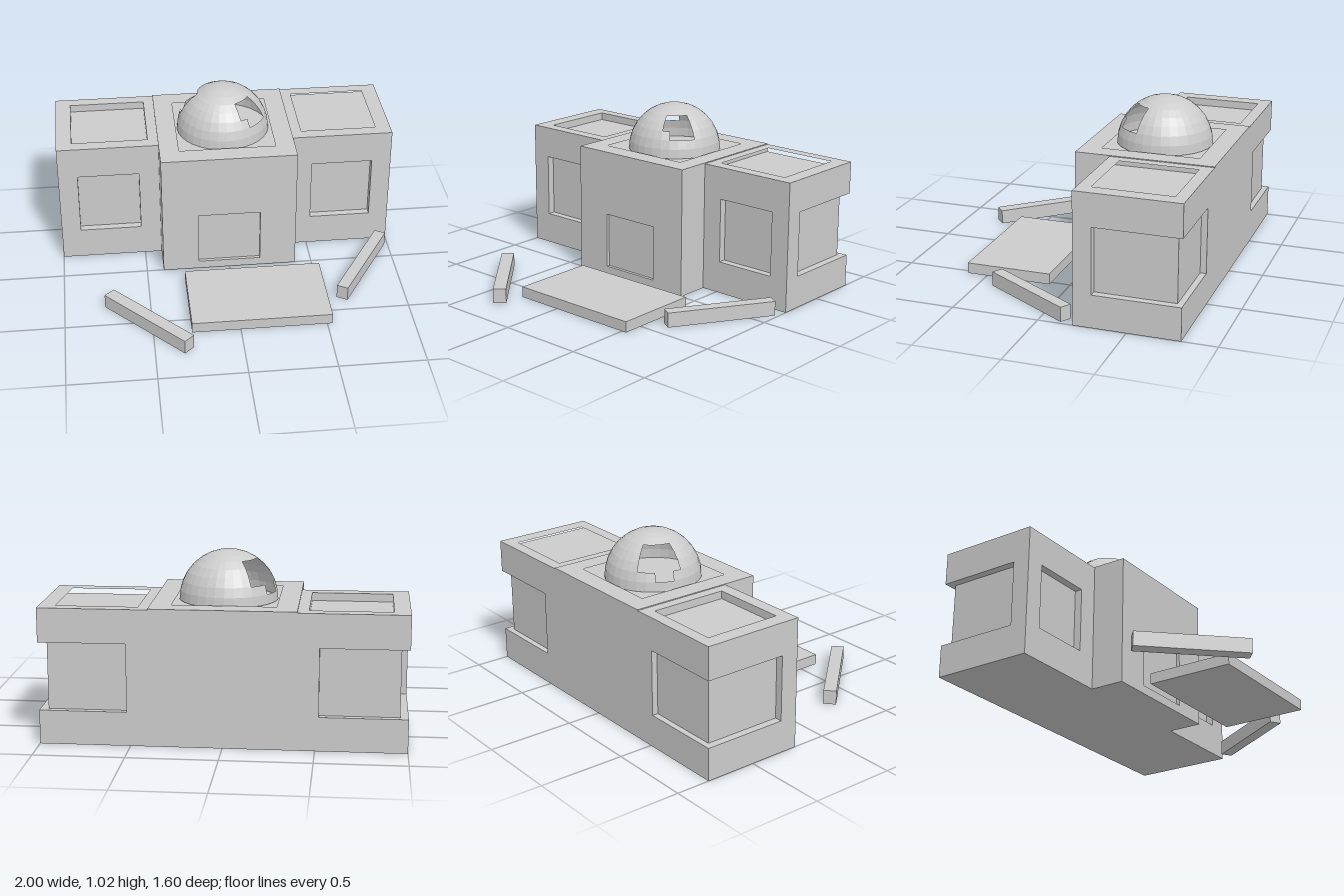
import * as THREE from 'three';

const material = new THREE.MeshStandardMaterial({ color: 0xcccccc, flatShading: true });
const shellMaterial = new THREE.MeshStandardMaterial({ color: 0xcccccc, flatShading: true, side: THREE.DoubleSide });

// corners of a rectangle in plan, as [x, z]
const rect = (x0, x1, z0, z1) => [[x0, z0], [x1, z0], [x1, z1], [x0, z1]];

// upright prism over a plan outline, with an optional hole
function layer(name, outline, y0, y1, hole) {
  const toPoints = (list) => list.map(([x, z]) => new THREE.Vector2(x, -z));
  const shape = new THREE.Shape(toPoints(outline));
  if (hole) shape.holes.push(new THREE.Path(toPoints(hole)));
  const geometry = new THREE.ExtrudeGeometry(shape, { depth: y1 - y0, bevelEnabled: false });
  geometry.rotateX(-Math.PI / 2).translate(0, y0, 0);
  const mesh = new THREE.Mesh(geometry, material);
  mesh.name = name;
  return mesh;
}

// side wing: front window recess, rear corner recess and sunken roof
function createWing(side) {
  const wing = new THREE.Group();
  wing.name = side > 0 ? 'leftWing' : 'rightWing';
  const flip = (list) => list.map(([x, z]) => [x * side, z]);
  const full = flip(rect(0.4, 1, -0.8, -0.2));
  const notched = flip([
    [0.4, -0.2], [0.52, -0.2], [0.52, -0.245], [0.885, -0.245], [0.885, -0.2], [1, -0.2],
    [1, -0.305], [0.955, -0.305], [0.955, -0.765], [0.52, -0.765], [0.52, -0.8], [0.4, -0.8],
  ]);
  wing.add(
    layer('wingBase', full, 0, 0.19),
    layer('wingWindowWalls', notched, 0.19, 0.57),
    layer('wingUpperWalls', full, 0.57, 0.715),
    layer('wingRoofRim', full, 0.715, 0.76, flip(rect(0.46, 0.91, -0.73, -0.275))),
  );
  return wing;
}

// central block: shallow doorway and shallow roof recess
function createCentre() {
  const centre = new THREE.Group();
  centre.name = 'centralBlock';
  const full = rect(-0.4, 0.4, -0.8, 0.003);
  const doorway = [
    [-0.4, -0.8], [0.4, -0.8], [0.4, 0.003], [0.185, 0.003],
    [0.185, -0.017], [-0.185, -0.017], [-0.185, 0.003], [-0.4, 0.003],
  ];
  centre.add(
    layer('centreBase', full, 0, 0.05),
    layer('doorwayWalls', doorway, 0.05, 0.38),
    layer('centreUpperWalls', full, 0.38, 0.747),
    layer('centreRoofRim', full, 0.747, 0.765, rect(-0.285, 0.285, -0.685, -0.115)),
  );
  return centre;
}

// faceted half-sphere shell with two broken openings
function createDome() {
  const radius = 0.275, step = Math.PI / 16;
  // openings as [first row, last row, first column, last column]
  const openings = [[2, 2, 2, 4], [3, 4, 2, 5], [2, 4, 16, 20], [1, 1, 17, 18]];
  const positions = [];
  const point = (i, j) => [
    radius * Math.cos(j * step) * Math.cos(i * step),
    radius * Math.sin(j * step),
    radius * Math.cos(j * step) * Math.sin(i * step),
  ];
  for (let j = 0; j < 8; j++) {
    for (let i = 0; i < 32; i++) {
      if (openings.some(([r0, r1, c0, c1]) => j >= r0 && j <= r1 && i >= c0 && i <= c1)) continue;
      const a = point(i, j), b = point(i, j + 1), c = point(i + 1, j + 1), d = point(i + 1, j);
      positions.push(...a, ...b, ...d);
      if (j < 7) positions.push(...b, ...c, ...d);
    }
  }
  const geometry = new THREE.BufferGeometry();
  geometry.setAttribute('position', new THREE.Float32BufferAttribute(positions, 3));
  geometry.computeVertexNormals();
  const dome = new THREE.Mesh(geometry, shellMaterial);
  dome.name = 'brokenDome';
  dome.position.set(0, 0.75, -0.4);
  return dome;
}

// loose piece lying on the ground
function createSlab(name, length, height, width, x, z, turn = 0) {
  const slab = new THREE.Mesh(new THREE.BoxGeometry(length, height, width), material);
  slab.name = name;
  slab.position.set(x, height / 2, z);
  slab.rotation.y = turn;
  return slab;
}

export function createModel() {
  const model = new THREE.Group();
  model.name = 'ruinedBuilding';
  model.add(createCentre(), createWing(1), createWing(-1), createDome());
  model.add(
    createSlab('fallenDoor', 0.81, 0.063, 0.505, 0.125, 0.367),
    createSlab('rightFallenBeam', 0.637, 0.085, 0.075, -0.522, 0.54, -Math.atan2(0.468, 0.428)),
    createSlab('leftFallenBeam', 0.63, 0.085, 0.068, 0.788, 0.126, Math.atan2(0.537, 0.328)),
  );
  return model;
}
